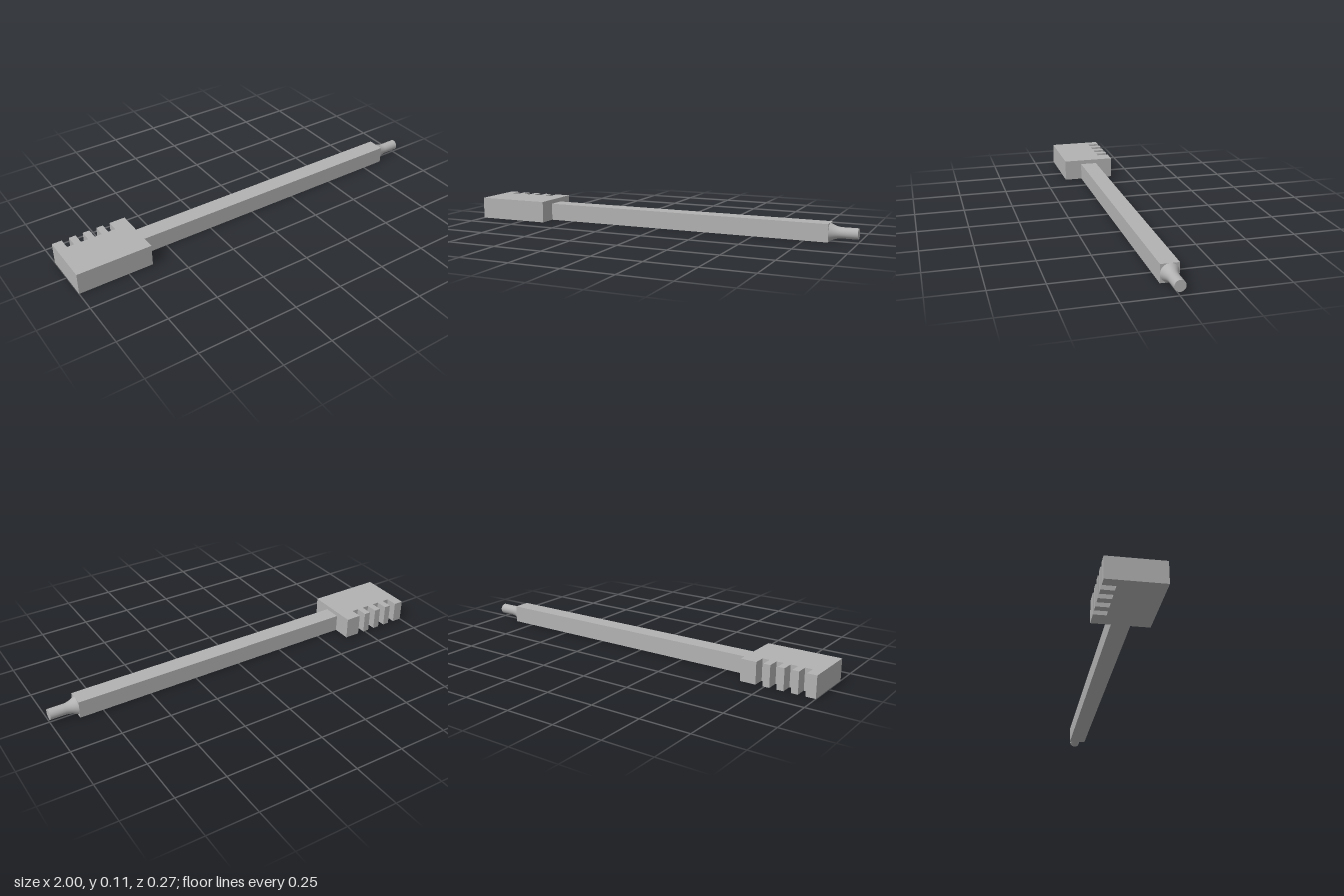
import * as THREE from 'three';

export function createModel() {
  const group = new THREE.Group();
  const grey = new THREE.MeshStandardMaterial({ color: 0xb2b2b2 });
  grey.name = 'plain grey';

  const add = (name, geometry, x = 0, y = 0, z = 0) => {
    const mesh = new THREE.Mesh(geometry, grey);
    mesh.name = name;
    mesh.position.set(x, y, z);
    group.add(mesh);
  };

  // Head block: rectangle outline with four square notches along the back edge
  const headEnd = -0.625, half = 0.135, notchDepth = 0.06;
  const outline = new THREE.Shape();
  outline.moveTo(-1, -half);
  outline.lineTo(headEnd, -half);
  outline.lineTo(headEnd, half);
  for (let i = 0; i < 4; i++) {
    const right = -0.705 - i * 0.07, left = right - 0.036;
    outline.lineTo(right, half);
    outline.lineTo(right, half - notchDepth);
    outline.lineTo(left, half - notchDepth);
    outline.lineTo(left, half);
  }
  outline.lineTo(-1, half);
  outline.closePath();
  const head = new THREE.ExtrudeGeometry(outline, { depth: 0.109, bevelEnabled: false });
  head.rotateX(-Math.PI / 2);
  add('notchedHead', head);

  // Square shaft
  const side = 0.087, shaftEnd = 0.866;
  add('squareShaft', new THREE.BoxGeometry(shaftEnd - headEnd, side, side),
    (shaftEnd + headEnd) / 2, side / 2);

  // Round tip with a flared collar, turned about the shaft axis
  const profile = [[0.0435, 0], [0.037, 0.013], [0.0315, 0.027], [0.028, 0.041], [0.0265, 0.056], [0.0265, 0.134]]
    .map(([r, h]) => new THREE.Vector2(r, h));
  const tip = new THREE.LatheGeometry(profile, 48);
  tip.rotateZ(-Math.PI / 2);
  add('roundTip', tip, shaftEnd, side / 2);

  // Flat end of the tip
  const cap = new THREE.CircleGeometry(0.0265, 48);
  cap.rotateY(Math.PI / 2);
  add('tipEnd', cap, 1, side / 2);

  return group;
}
